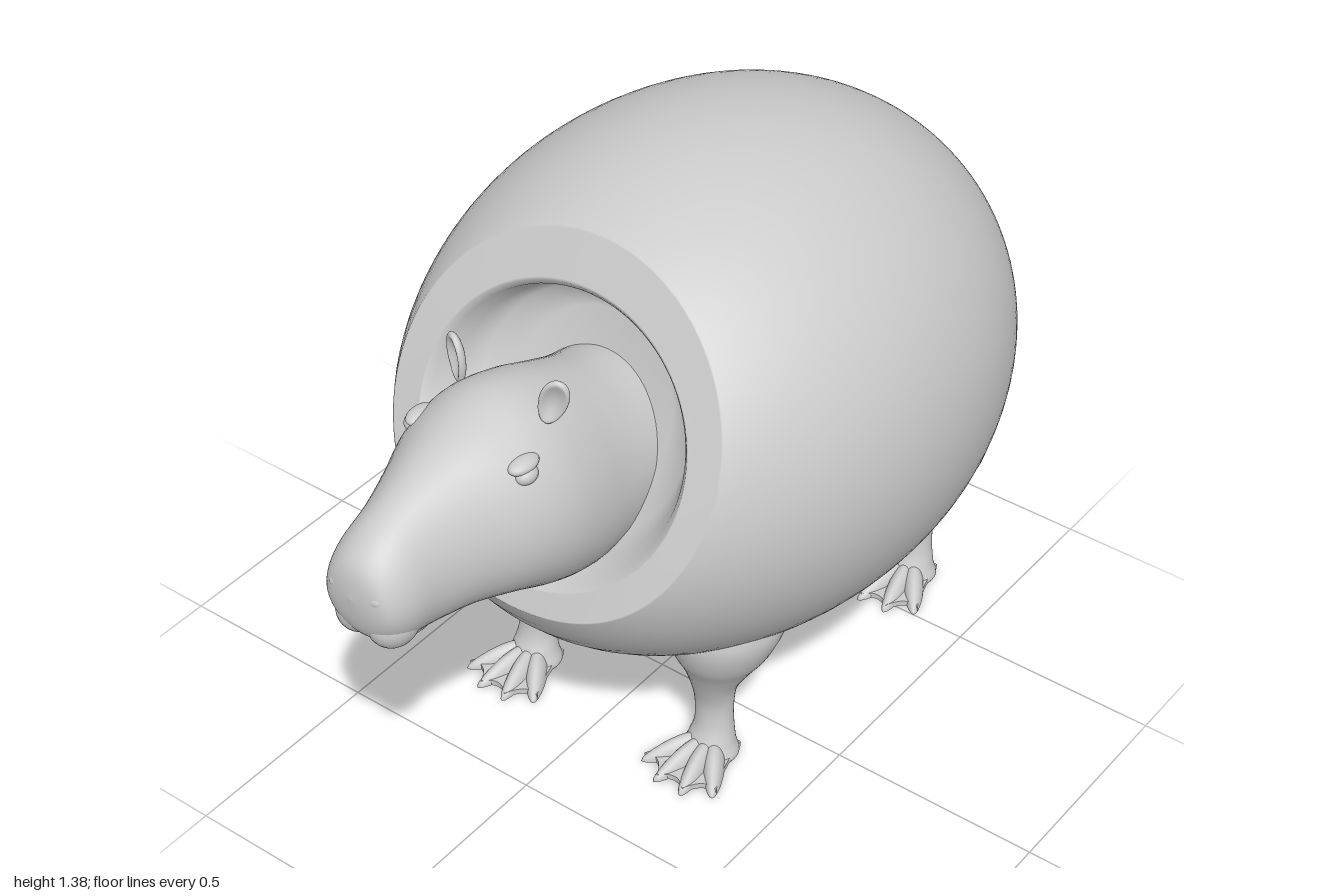
import * as THREE from 'three';

const grey = new THREE.MeshStandardMaterial({ color: 0xcccccc });
const TAU = Math.PI * 2;

function add(parent, name, geometry) {
  const mesh = new THREE.Mesh(geometry, grey);
  mesh.name = name;
  parent.add(mesh);
  return mesh;
}

// Skin joining closed rings; each ring is a function of the angle giving [x, y, z]
function loft(rings, n = 64) {
  const pos = [], index = [];
  rings.forEach((ring, i) => {
    for (let k = 0; k < n; k++) {
      pos.push(...ring((k / n) * TAU));
      if (i === rings.length - 1) continue;
      const a = i * n + k, b = i * n + ((k + 1) % n);
      index.push(a, a + n, b, b, a + n, b + n);
    }
  });
  const g = new THREE.BufferGeometry();
  g.setAttribute('position', new THREE.Float32BufferAttribute(pos, 3));
  g.setIndex(index);
  g.computeVertexNormals();
  return g;
}

// Smoothly subdivide a table of section values
function smooth(table, steps) {
  const out = [], last = table.length - 1;
  const row = i => table[Math.max(0, Math.min(last, i))];
  for (let i = 0; i < last; i++) {
    for (let s = 0; s < steps; s++) {
      const t = s / steps;
      out.push(row(i).map((p1, c) => {
        const p0 = row(i - 1)[c], p2 = row(i + 1)[c], p3 = row(i + 2)[c];
        return p1 + 0.5 * t * (p2 - p0 + t * (2 * p0 - 5 * p1 + 4 * p2 - p3 + t * (3 * (p1 - p2) + p3 - p0)));
      }));
    }
  }
  out.push(table[last]);
  return out;
}

// Egg-shaped trunk: quarter-ellipse profiles along z
const arc = (z, mid, back, front) =>
  Math.sqrt(Math.max(0, 1 - ((z - mid) / (z < mid ? back : front)) ** 2));

function eggPoint(z, a) {
  const top = 0.7 + 0.685 * arc(z, -0.16, 0.84, 0.79);
  const bottom = 0.7 - 0.535 * arc(z, -0.3, 0.7, 0.87);
  const width = 0.61 * arc(z, -0.17, 0.83, 0.79);
  return [width * Math.sin(a), (top + bottom) / 2 + ((top - bottom) / 2) * Math.cos(a), z];
}

const cutPlane = (y, zc = 0.37, tilt = 1) => zc - 0.453 * tilt * (y - 0.935);

// Ring where a tilted plane meets the egg
const eggRing = (zc, tilt) => a => {
  let lo = -1, hi = 0.565;
  for (let i = 0; i < 32; i++) {
    const z = (lo + hi) / 2;
    if (z < cutPlane(eggPoint(z, a)[1], zc, tilt)) lo = z; else hi = z;
  }
  return eggPoint(lo, a);
};

function bodyGeometry() {
  const rings = [a => eggPoint(-1, a)];
  for (let i = 1; i <= 48; i++) {
    const t = i / 48;
    rings.push(eggRing(-1 + 1.37 * (1 - Math.cos(t * Math.PI / 2)), t * t));
  }
  // flat collar, then the hollow the neck comes out of
  const collar = (rx, ry, depth) => a => {
    const y = 0.91 + ry * Math.cos(a);
    return [rx * Math.sin(a), y, cutPlane(y) + depth];
  };
  const outer = eggRing(0.37, 1), inner = collar(0.34, 0.295, 0.005);
  for (const t of [0.04, 0.2, 0.6, 0.95]) {
    rings.push(a => {
      const p = outer(a), q = inner(a);
      return p.map((v, i) => v + (q[i] - v) * t);
    });
  }
  rings.push(inner, collar(0.325, 0.28, -0.012), collar(0.3, 0.262, -0.06),
    collar(0.27, 0.24, -0.11), collar(0.2, 0.19, -0.14), collar(0, 0, -0.15));
  return loft(rings, 96);
}

// Head and neck sections: z, top, bottom, half width
const HEAD = [
  [0.1, 1.0, 0.66, 0.19], [0.25, 1.035, 0.63, 0.19], [0.35, 1.075, 0.605, 0.195],
  [0.45, 1.115, 0.615, 0.208], [0.55, 1.135, 0.65, 0.212], [0.65, 1.118, 0.695, 0.192],
  [0.75, 1.088, 0.722, 0.148], [0.85, 1.05, 0.735, 0.115], [0.93, 1.012, 0.752, 0.105],
  [0.975, 0.975, 0.785, 0.085], [0.993, 0.94, 0.83, 0.055], [1.0, 0.89, 0.89, 0],
];

function headGeometry() {
  return loft(smooth(HEAD, 5).map(([z, top, bottom, w]) => a => [
    w * Math.sin(a) * (1 - 0.1 * Math.cos(a)),
    (top + bottom) / 2 + ((top - bottom) / 2) * Math.cos(a), z]));
}

function blob(parent, name, p, scale) {
  const mesh = add(parent, name, new THREE.SphereGeometry(1, 24, 16));
  mesh.position.set(...p);
  mesh.scale.set(...scale);
  return mesh;
}

// Rounded ear, pressed hollow at the front
function earGeometry() {
  const g = new THREE.SphereGeometry(1, 28, 20);
  const p = g.attributes.position;
  for (let i = 0; i < p.count; i++) {
    const x = p.getX(i), y = p.getY(i), z = p.getZ(i);
    const hollow = z > 0 ? 1.3 * Math.max(0, 1 - (x * x + y * y) * 1.3) : 0;
    p.setXYZ(i, x * 0.03 * (1 + 0.15 * y), y * 0.055, (z - hollow) * 0.017);
  }
  g.computeVertexNormals();
  return g;
}

// Leg sections, top down: y, x shift, z shift, half width, half length
const LEG = [
  [0.5, 0.02, -0.02, 0.1, 0.12], [0.4, 0.02, -0.015, 0.13, 0.145], [0.32, 0.015, -0.005, 0.113, 0.12],
  [0.26, 0.008, 0, 0.082, 0.083], [0.2, 0, 0.005, 0.056, 0.052], [0.14, -0.003, 0, 0.047, 0.04],
  [0.08, 0, 0.003, 0.046, 0.042], [0.035, 0, 0.012, 0.056, 0.052], [0, 0, 0.015, 0.064, 0.055], [0, 0, 0.015, 0, 0],
];

// Toe lying on the ground, flat underneath
function toeGeometry(length, width) {
  const g = new THREE.SphereGeometry(1, 20, 14);
  const p = g.attributes.position;
  for (let i = 0; i < p.count; i++) {
    const z = p.getZ(i), taper = 1 - 0.25 * z;
    p.setXYZ(i, p.getX(i) * width * taper, Math.max(0, p.getY(i)) * 0.045 * (1 - 0.5 * z), (z + 1) * length / 2);
  }
  g.computeVertexNormals();
  return g;
}

// Scalloped web under the toes
function webGeometry() {
  const s = new THREE.Shape();
  s.moveTo(-0.05, 0.03);
  s.quadraticCurveTo(-0.07, -0.08, -0.1, -0.13);
  s.quadraticCurveTo(-0.06, -0.11, -0.035, -0.17);
  s.quadraticCurveTo(0, -0.13, 0.035, -0.17);
  s.quadraticCurveTo(0.06, -0.11, 0.1, -0.13);
  s.quadraticCurveTo(0.07, -0.08, 0.05, 0.03);
  return new THREE.ExtrudeGeometry(s, { depth: 0.014, bevelEnabled: false }).rotateX(-Math.PI / 2);
}

function makeLeg(name, side, x, z) {
  const leg = new THREE.Group();
  leg.name = name;
  leg.position.set(side * x, 0, z);
  add(leg, 'shin', loft(smooth(LEG, 4).map(([y, dx, dz, w, l]) => a =>
    [side * dx + w * Math.sin(a), Math.max(0, y), dz + l * Math.cos(a)]), 40));
  add(leg, 'footWeb', webGeometry());
  for (const turn of [-0.6, -0.2, 0.2, 0.6]) {
    const toe = add(leg, 'toe', toeGeometry(Math.abs(turn) > 0.4 ? 0.175 : 0.185, 0.025));
    toe.rotation.y = turn;
  }
  return leg;
}

export function createModel() {
  const model = new THREE.Group();
  model.name = 'roundAnimal';
  add(model, 'body', bodyGeometry());

  const head = new THREE.Group();
  head.name = 'head';
  model.add(head);
  add(head, 'skull', headGeometry());
  for (const s of [1, -1]) {
    // face
    blob(head, 'lip', [s * 0.04, 0.81, 0.925], [0.052, 0.06, 0.06]);
    blob(head, 'nostrilRim', [s * 0.05, 0.9, 0.97], [0.024, 0.02, 0.024]);
    blob(head, 'eye', [s * 0.143, 1.035, 0.63], [0.022, 0.02, 0.028]);
    blob(head, 'brow', [s * 0.132, 1.053, 0.625], [0.025, 0.016, 0.04]);
    blob(head, 'tooth', [s * 0.019, 0.757, 0.912], [0.014, 0.032, 0.01]);
    const ear = add(head, 'ear', earGeometry());
    ear.position.set(s * 0.125, 1.137, 0.52);
    ear.rotation.set(0, s * 0.45, -s * 0.3);
    // legs
    const label = s > 0 ? 'left' : 'right';
    model.add(makeLeg(label + 'FrontLeg', s, 0.255, 0.14));
    model.add(makeLeg(label + 'RearLeg', s, 0.27, -0.645));
  }
  blob(head, 'chin', [0, 0.765, 0.86], [0.065, 0.04, 0.07]);
  return model;
}
